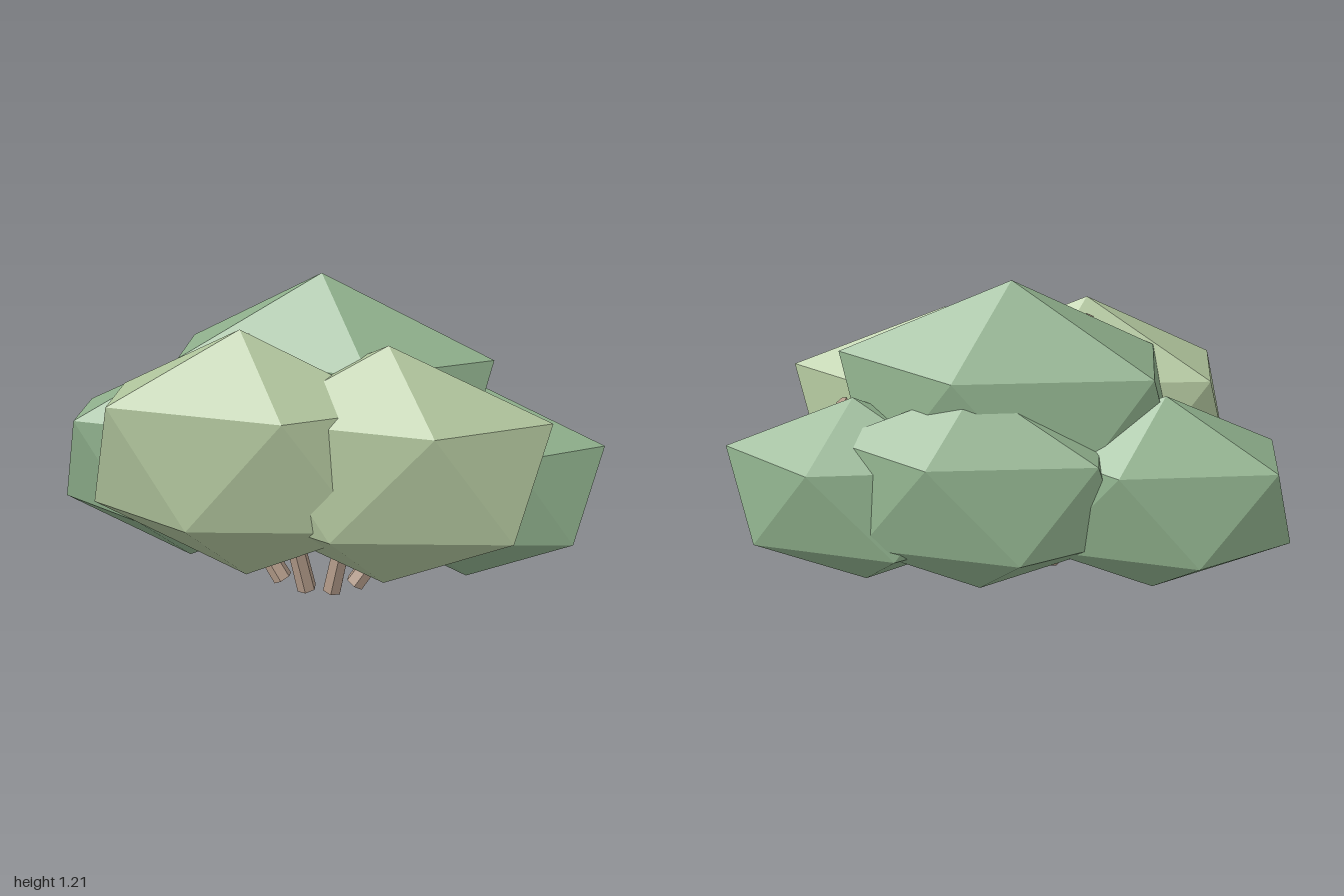
import * as THREE from 'three';
import { ConvexGeometry } from 'three/addons/geometries/ConvexGeometry.js';

// Unit icosahedron standing on a pole: two apexes and two rings of five
function icosahedron() {
  const pts = [new THREE.Vector3(0, 1, 0), new THREE.Vector3(0, -1, 0)];
  const h = 1 / Math.sqrt(5), r = 2 * h;
  for (let i = 0; i < 5; i++) {
    const a = (i * Math.PI * 2) / 5;
    pts.push(new THREE.Vector3(r * Math.cos(a), h, r * Math.sin(a)));
    pts.push(new THREE.Vector3(-r * Math.cos(a), -h, r * Math.sin(a)));
  }
  return new ConvexGeometry(pts);
}

export function createModel() {
  const bush = new THREE.Group();
  bush.name = 'bush';
  const material = (color) => new THREE.MeshStandardMaterial({ color, flatShading: true });
  const darkLeaf = material(0x8fb08c);
  const lightLeaf = material(0xb0c49c);
  const bark = material(0xb49c8a);

  // Foliage clumps: name, material, centre, radii
  const unit = icosahedron();
  const clumps = [
    ['frontRightFoliage', lightLeaf, [-0.246, 0.668, 0.173], [0.608, 0.462, 0.222]],
    ['frontLeftFoliage', lightLeaf, [0.246, 0.64, 0.144], [0.617, 0.447, 0.226]],
    ['topFoliage', darkLeaf, [0, 0.76, -0.03], [0.664, 0.515, 0.246]],
    ['sideRightFoliage', darkLeaf, [-0.524, 0.51, -0.122], [0.532, 0.402, 0.214]],
    ['sideLeftFoliage', darkLeaf, [0.535, 0.479, -0.13], [0.52, 0.388, 0.21]],
    ['backFoliage', darkLeaf, [0.104, 0.539, -0.188], [0.57, 0.423, 0.203]],
  ];
  for (const [name, mat, centre, radii] of clumps) {
    const mesh = new THREE.Mesh(unit.clone().scale(...radii), mat);
    mesh.name = name;
    mesh.position.set(...centre);
    bush.add(mesh);
  }

  // Tapered six-sided stems fanning out from the base
  const stems = [
    ['outerRightStem', [-0.14, 0.11, 0.015], [-0.56, 0.79, -0.08]],
    ['innerRightStem', [-0.05, 0.075, 0.015], [-0.25, 1.085, 0.108]],
    ['innerLeftStem', [0.045, 0.075, 0.015], [0.22, 0.98, 0.09]],
    ['outerLeftStem', [0.13, 0.11, 0.015], [0.59, 0.815, -0.075]],
  ];
  for (const [name, from, to] of stems) {
    const a = new THREE.Vector3(...from), b = new THREE.Vector3(...to);
    const axis = b.clone().sub(a);
    const mesh = new THREE.Mesh(new THREE.CylinderGeometry(0.025, 0.037, axis.length(), 6), bark);
    mesh.name = name;
    mesh.position.copy(a).add(b).multiplyScalar(0.5);
    mesh.quaternion.setFromUnitVectors(new THREE.Vector3(0, 1, 0), axis.normalize());
    bush.add(mesh);
  }
  return bush;
}
